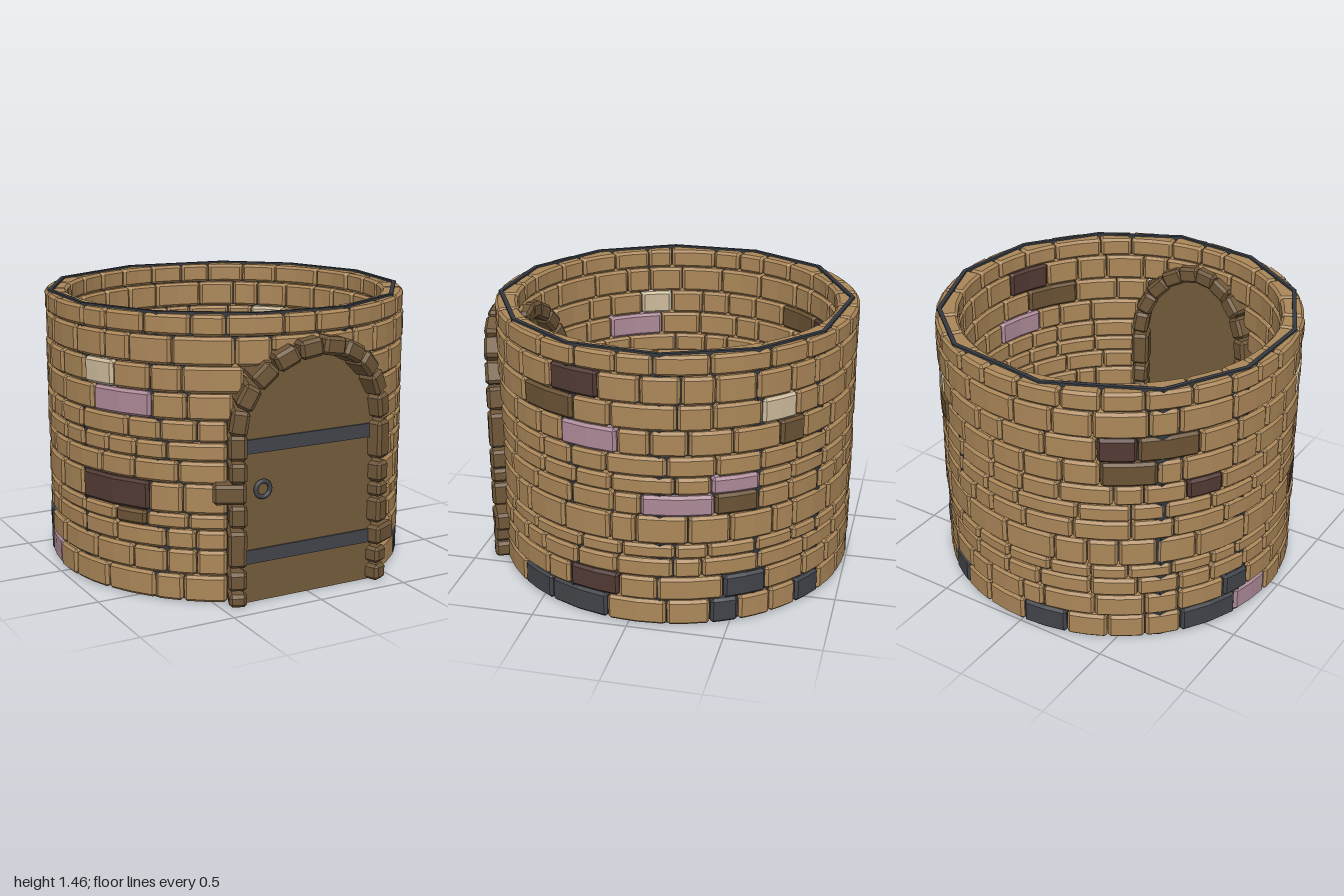
import * as THREE from 'three';
import { mergeGeometries } from 'three/addons/utils/BufferGeometryUtils.js';

const mat = (name, color) => new THREE.MeshStandardMaterial({ name, color });
const MATS = {
  tan: mat('tan brick', 0xab8759),
  brown: mat('dark brown brick', 0x6b5335),
  maroon: mat('maroon brick', 0x523a34),
  lilac: mat('lilac brick', 0xad8a98),
  cream: mat('cream brick', 0xcdbb9c),
  charcoal: mat('charcoal', 0x42444a),
  mortar: mat('dark mortar', 0x353a40),
  stone: mat('arch stone', 0x6f5739),
  door: mat('door wood', 0x745c3a),
};

const CZ = -0.035, R_IN = 0.845, R_OUT = 0.962;
const ARCH_Y = 0.87, DOOR_W = 0.38;
const ROWS = [0, 0.14, 0.27, 0.375, 0.455, 0.61, 0.725, 0.82, 0.93, 1.065, 1.2, 1.345, 1.452];

// Odd-coloured bricks: row, start and end angle in degrees (0 = front, 90 = +x), colour
const ACCENTS = [
  [0, 45.6, 60, 'charcoal'], [0, 60, 81, 'charcoal'], [0, 113, 122, 'charcoal'], [0, 143, 154, 'charcoal'],
  [0, 181, 196, 'charcoal'], [0, 232, 252, 'charcoal'], [0, 252, 267, 'lilac'],
  [1, 68, 85, 'maroon'], [1, 117, 131, 'charcoal'], [1, 247, 257, 'charcoal'],
  [3, 297, 308, 'brown'], [4, 283, 309, 'maroon'],
  [5, 92, 114, 'lilac'], [5, 114, 128, 'brown'], [6, 113, 128, 'lilac'], [7, 233, 245, 'maroon'],
  [8, 66, 85, 'lilac'], [8, 135, 144.5, 'brown'], [8, 207, 224, 'brown'], [8, 289, 310, 'lilac'],
  [9, 50, 70.5, 'brown'], [9, 128.5, 141, 'cream'], [9, 206, 218, 'maroon'], [9, 218, 237, 'brown'],
  [9, 285, 297, 'cream'], [10, 62, 79, 'maroon'],
];

let seed = 11;
const rand = () => (seed = (seed * 16807) % 2147483647) / 2147483647;
const rad = THREE.MathUtils.degToRad;

// Box with chamfered edges, flat shaded, with extra cross-sections along x for bending
function block(w, h, d, b = 0.014, segs = 2) {
  const H = h / 2, D = d / 2;
  const oct = [[H, -D + b], [H, D - b], [H - b, D], [b - H, D], [-H, D - b], [-H, b - D], [b - H, -D], [H - b, -D]];
  const clamp = THREE.MathUtils.clamp;
  const end = oct.map(([y, z]) => [clamp(y, b - H, H - b), clamp(z, b - D, D - b)]);
  const rings = [[-w / 2, end]];
  for (let i = 0; i <= segs; i++) rings.push([(w / 2 - b) * (2 * i / segs - 1), oct]);
  rings.push([w / 2, end]);
  const pts = rings.map(([x, s]) => s.map(([y, z]) => new THREE.Vector3(x, y, z)));
  const out = [];
  const tri = (...t) => {
    if (new THREE.Triangle(...t).getArea() > 1e-9) t.forEach(p => out.push(p.x, p.y, p.z));
  };
  const last = pts.length - 1;
  for (let j = 0; j < 8; j++) {
    const k = (j + 1) % 8;
    for (let i = 0; i < last; i++) {
      tri(pts[i][j], pts[i][k], pts[i + 1][k]);
      tri(pts[i][j], pts[i + 1][k], pts[i + 1][j]);
    }
    tri(pts[last][0], pts[last][j], pts[last][k]);
    tri(pts[0][0], pts[0][k], pts[0][j]);
  }
  const g = new THREE.BufferGeometry();
  g.setAttribute('position', new THREE.Float32BufferAttribute(out, 3));
  g.computeVertexNormals();
  return g;
}

// Brick bent around the tower axis
function brick(a0, a1, y0, y1) {
  const rOut = R_OUT + (rand() - 0.5) * 0.008, rm = (R_IN + rOut) / 2;
  const g = block(rad(a1 - a0) * rm - 0.005, y1 - y0 - 0.004, rOut - R_IN);
  const p = g.attributes.position, mid = rad((a0 + a1) / 2);
  for (let i = 0; i < p.count; i++) {
    const t = mid + p.getX(i) / rm, r = rm + p.getZ(i);
    p.setXYZ(i, r * Math.sin(t), p.getY(i) + (y0 + y1) / 2, r * Math.cos(t) + CZ);
  }
  g.computeVertexNormals();
  return g;
}

// Stone set through the wall around the doorway
function archStone(x, y, w, h, roll = 0) {
  const g = block(w, h, 0.235, 0.016, 1);
  g.rotateZ(roll);
  g.translate(0, 0, 0.915);
  g.rotateY(Math.asin(x / 1.02));
  g.translate(0, y, CZ);
  return g;
}

// Upright mortar sheet along a path of [x, z] points
function mortarSheet(path, y0, y1) {
  return path.slice(1).map(([x1, z1], i) => {
    const [x0, z0] = path[i], dx = x1 - x0, dz = z1 - z0;
    const g = new THREE.BoxGeometry(Math.hypot(dx, dz) + 0.012, y1 - y0, 0.022);
    g.rotateY(-Math.atan2(dz, dx));
    g.translate((x0 + x1) / 2, (y0 + y1) / 2, (z0 + z1) / 2);
    return g;
  });
}

export function createModel() {
  const model = new THREE.Group();
  model.name = 'roundBrickTower';
  const add = (name, geo, material, parent = model) => {
    const m = new THREE.Mesh(geo, material);
    m.name = name;
    parent.add(m);
    return m;
  };

  // Brick courses, leaving the doorway open
  const wall = new THREE.Group();
  wall.name = 'wall';
  model.add(wall);
  const bricks = {};
  const lay = (color, ...args) => (bricks[color] ??= []).push(brick(...args));
  const fill = (a, b, y0, y1) => {
    if (b - a < 0.5) return;
    const n = Math.max(1, Math.round((b - a) / 13.5));
    const widths = Array.from({ length: n }, () => 0.6 + rand() * 0.8);
    const k = (b - a) / widths.reduce((s, v) => s + v, 0);
    for (const v of widths) {
      lay('tan', a, a + v * k, y0, y1);
      a += v * k;
    }
  };
  for (let r = 0; r < ROWS.length - 1; r++) {
    const y0 = ROWS[r], y1 = ROWS[r + 1];
    const half = r === 11 ? 0 : Math.sqrt(0.16 - Math.max(0, y0 - ARCH_Y) ** 2) + (r < 8 ? 0.02 : 0);
    const gap = THREE.MathUtils.radToDeg(Math.asin(half / 0.92));
    let a = gap;
    for (const [, s, e, color] of ACCENTS.filter(c => c[0] === r)) {
      fill(a, s, y0, y1);
      lay(color, s, e, y0, y1);
      a = e;
    }
    fill(a, 360 - gap, y0, y1);
    if (r === 10) fill(-gap, gap, 1.265, y1);
  }
  for (const color in bricks) add(color + 'Bricks', mergeGeometries(bricks[color]), MATS[color], wall);

  // Thin mortar core between the inner and outer brick faces
  const right = [0.42, 0.762], left = [-0.42, 0.772];
  const core = [[0.6, 0.67], [0.87, 0.31], [0.93, -0.16], [0.75, -0.6], [0.43, -0.87], [-0.14, -0.95],
    [-0.67, -0.7], [-0.9, -0.3], [-0.91, 0.18], [-0.7, 0.59]];
  add('mortarCore', mergeGeometries([
    ...mortarSheet([right, ...core, left], 0.005, 1.28),
    ...mortarSheet([[0.17, 0.89], ...core, [-0.3, 0.85], [0.17, 0.89]], 1.28, 1.46),
  ]), MATS.mortar, wall);

  // Door jamb stones: bottom, top, inner x, outer x
  const jambs = {
    '-1': [[0, 0.065, 0.375, 0.465], [0.085, 0.18, 0.375, 0.47], [0.205, 0.39, 0.375, 0.47], [0.41, 0.52, 0.375, 0.465],
      [0.53, 0.63, 0.375, 0.54], [0.635, 0.735, 0.375, 0.465], [0.75, 0.875, 0.375, 0.47]],
    1: [[0, 0.085, 0.375, 0.465], [0.095, 0.18, 0.375, 0.465], [0.195, 0.295, 0.375, 0.535], [0.315, 0.445, 0.375, 0.465],
      [0.455, 0.53, 0.375, 0.465], [0.535, 0.64, 0.375, 0.465], [0.66, 0.855, 0.37, 0.47]],
  };
  const stones = [];
  for (const side of [-1, 1])
    for (const [y0, y1, x0, x1] of jambs[side])
      stones.push(archStone(side * (x0 + x1) / 2, (y0 + y1) / 2, x1 - x0, y1 - y0));

  // Ten arch stones over the doorway
  for (let i = 0; i < 10; i++) {
    const t = rad(18 * (i + 0.5));
    stones.push(archStone(0.42 * Math.cos(t), ARCH_Y + 0.42 * Math.sin(t), 0.124, 0.092, t - Math.PI / 2));
  }
  add('doorSurround', mergeGeometries(stones), MATS.stone);

  // Arched door with two iron straps and a ring handle
  const door = new THREE.Group();
  door.name = 'door';
  model.add(door);
  const shape = new THREE.Shape();
  shape.moveTo(-DOOR_W, 0);
  shape.lineTo(DOOR_W, 0);
  shape.lineTo(DOOR_W, ARCH_Y);
  shape.absarc(0, ARCH_Y, DOOR_W, 0, Math.PI);
  shape.closePath();
  add('doorPanel', new THREE.ExtrudeGeometry(shape, { depth: 0.04, bevelEnabled: false, curveSegments: 16 }), MATS.door, door)
    .position.z = 0.82;
  for (const y of [0.24, 0.805])
    add('doorStrap', new THREE.BoxGeometry(0.75, 0.072, 0.009), MATS.charcoal, door).position.set(0, y, 0.864);
  add('ringHandle', new THREE.TorusGeometry(0.04, 0.012, 8, 20), MATS.charcoal, door).position.set(-0.27, 0.585, 0.872);

  return model;
}
